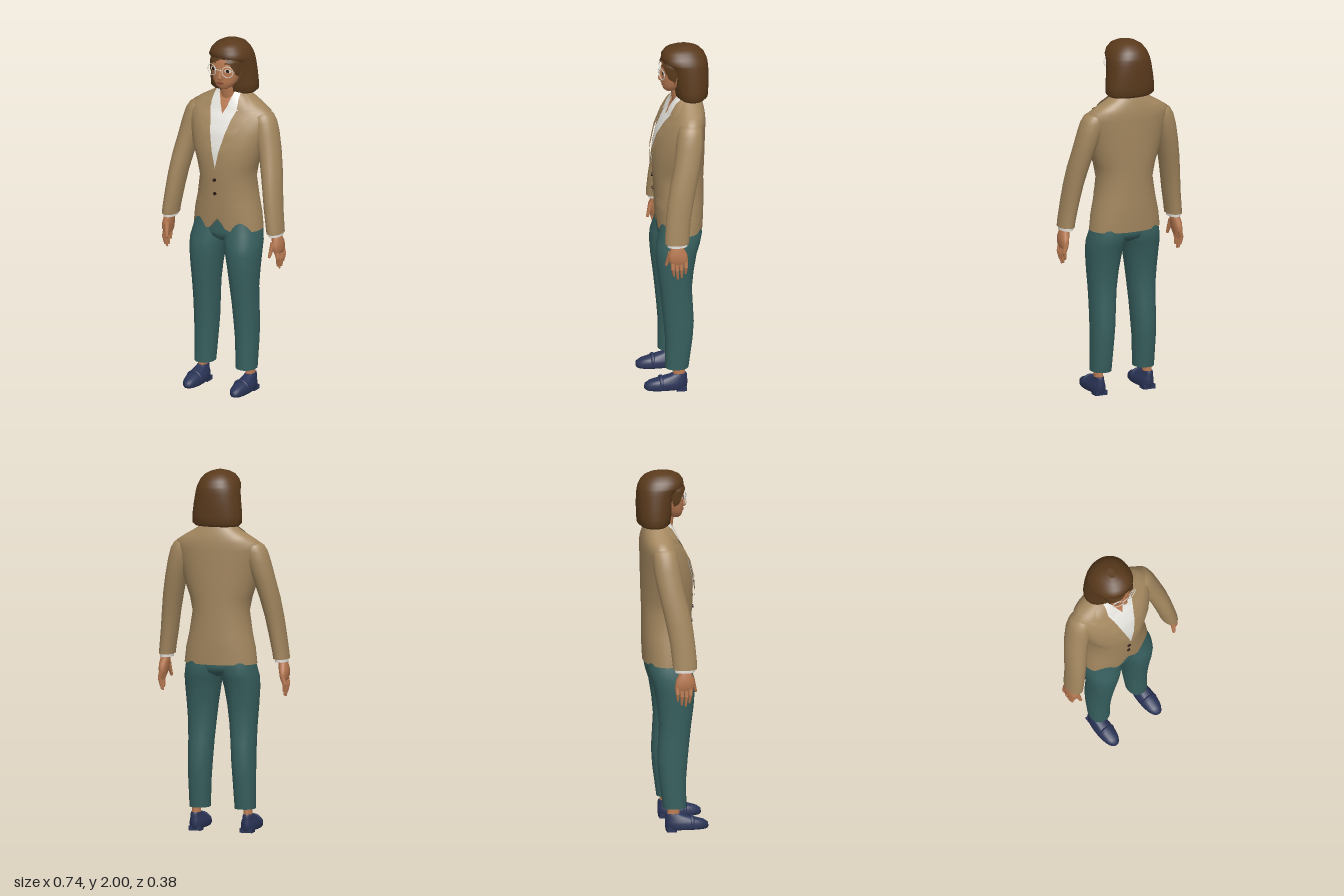
import * as THREE from 'three';

const mat = (name, color, double) => {
  const m = new THREE.MeshStandardMaterial({ color });
  m.name = name;
  if (double) m.side = THREE.DoubleSide;
  return m;
};

// Superellipse loft. Rows rise in y: [y, xMin, xMax, zMin, zMax]
function loft(rows, p = 2.2, n = 40) {
  const pos = [], idx = [];
  const pw = v => Math.sign(v) * Math.pow(Math.abs(v), 2 / p);
  const ring = ([y, x0, x1, z0, z1]) => {
    for (let j = 0; j < n; j++) {
      const t = j / n * Math.PI * 2;
      pos.push((x0 + x1) / 2 + (x1 - x0) / 2 * pw(Math.cos(t)), y, (z0 + z1) / 2 + (z1 - z0) / 2 * pw(Math.sin(t)));
    }
  };
  rows.forEach(ring);
  for (let i = 0; i < rows.length - 1; i++) for (let j = 0; j < n; j++) {
    const a = i * n + j, b = i * n + (j + 1) % n;
    idx.push(a, a + n, b, b, a + n, b + n);
  }
  // end caps on their own vertices, so the rims stay crisp
  [rows[0], rows[rows.length - 1]].forEach((r, k) => {
    const s = pos.length / 3;
    ring(r);
    pos.push((r[1] + r[2]) / 2, r[0], (r[3] + r[4]) / 2);
    for (let j = 0; j < n; j++) {
      const a = s + j, b = s + (j + 1) % n;
      if (k) idx.push(s + n, b, a); else idx.push(s + n, a, b);
    }
  });
  return finish(pos, idx);
}

function finish(pos, idx) {
  const g = new THREE.BufferGeometry();
  g.setAttribute('position', new THREE.Float32BufferAttribute(pos, 3));
  g.setIndex(idx);
  g.computeVertexNormals();
  return g;
}

// Front surface depth of a loft at (x, y)
function frontZ(rows, x, y, p = 2.2) {
  let i = 0;
  while (i < rows.length - 2 && rows[i + 1][0] < y) i++;
  const a = rows[i], b = rows[i + 1];
  const f = Math.min(1, Math.max(0, (y - a[0]) / (b[0] - a[0])));
  const [, x0, x1, z0, z1] = a.map((v, k) => v + (b[k] - v) * f);
  const u = Math.min(1, Math.abs((x - (x0 + x1) / 2) / ((x1 - x0) / 2)));
  return (z0 + z1) / 2 + (z1 - z0) / 2 * Math.pow(1 - Math.pow(u, p), 1 / p);
}

// Thin sheet lying on a loft's front. Outline rows: [y, xMin, xMax]
function patch(surface, outline, off, nx = 8, sub = 5) {
  const pos = [], idx = [];
  let count = 0;
  for (let i = 0; i < outline.length - 1; i++) for (let k = i ? 1 : 0; k <= sub; k++) {
    const [y, xa, xb] = outline[i].map((v, c) => v + (outline[i + 1][c] - v) * k / sub);
    for (let j = 0; j <= nx; j++) {
      const x = xa + (xb - xa) * j / nx;
      pos.push(x, y, frontZ(surface, x, y) + off);
    }
    count++;
  }
  for (let r = 0; r < count - 1; r++) for (let j = 0; j < nx; j++) {
    const a = r * (nx + 1) + j, c = a + nx + 1;
    idx.push(a, a + 1, c, a + 1, c + 1, c);
  }
  return finish(pos, idx);
}

// Mirror rows to the other side of the body
const mir = (rows, s) => s > 0 ? rows : rows.map(([y, a, b, ...z]) => [y, -b, -a, ...z]);
// Symmetric rows from half widths
const sym = rows => rows.map(([y, w, ...z]) => [y, -w, w, ...z]);

const TORSO = sym([
  [0.935, .203, -.153, .1], [1.02, .193, -.158, .105], [1.1, .175, -.16, .108], [1.22, .156, -.16, .115],
  [1.3, .172, -.163, .12], [1.4, .208, -.165, .115], [1.5, .228, -.166, .09], [1.57, .243, -.167, .055],
  [1.61, .235, -.165, .028], [1.64, .19, -.161, .015], [1.675, .13, -.153, -.002], [1.71, .08, -.14, -.02]]);
const HEAD = sym([
  [1.738, .02, .005, .046], [1.752, .045, -.02, .06], [1.785, .07, -.06, .068], [1.84, .088, -.1, .069],
  [1.9, .092, -.12, .066], [1.95, .075, -.1, .045], [1.97, .04, -.07, .01]]);
const HAIR = sym([
  [1.7, .122, -.17, -.02], [1.715, .138, -.185, -.004], [1.76, .138, -.188, .003], [1.82, .131, -.19, .012],
  [1.88, .123, -.188, .028], [1.908, .119, -.184, .05], [1.922, .116, -.181, .07], [1.95, .103, -.168, .068],
  [1.975, .082, -.145, .05], [1.99, .055, -.115, .02], [2, .022, -.08, -.02]]);
const ARM = [
  [.962, .285, .371, -.032, .1], [1, .28, .367, -.035, .1], [1.1, .262, .356, -.045, .092], [1.2, .245, .345, -.064, .08],
  [1.3, .222, .332, -.085, .06], [1.4, .195, .313, -.108, .036], [1.5, .16, .292, -.125, .022],
  [1.56, .14, .275, -.126, .012], [1.595, .14, .255, -.12, 0], [1.615, .16, .225, -.1, -.025]];
const LEG = [
  [.13, .073, .186, -.06, .068], [.3, .065, .189, -.083, .068], [.4, .058, .19, -.09, .076], [.5, .052, .19, -.085, .086],
  [.6, .043, .193, -.08, .097], [.7, .032, .2, -.09, .11], [.8, .016, .207, -.107, .118], [.86, .003, .207, -.126, .113],
  [.92, -.01, .196, -.14, .096], [1, -.01, .175, -.13, .085]];
const SHOE = [
  [.012, .106, .188, -.045, .18], [.022, .1, .194, -.05, .188], [.045, .1, .194, -.052, .186], [.06, .105, .19, -.051, .165],
  [.075, .114, .183, -.05, .115], [.09, .12, .178, -.05, .055], [.1, .123, .175, -.046, .034]];

export function createModel() {
  const root = new THREE.Group();
  root.name = 'woman';
  const M = {
    jacket: mat('tan jacket', 0xa3875f, true), trousers: mat('teal trousers', 0x37605f), hair: mat('brown hair', 0x5a3a1c, true),
    skin: mat('skin', 0xb97a52, true), shirt: mat('white shirt', 0xe6e4de, true), shoe: mat('navy shoe', 0x2a3457),
    lips: mat('lips', 0x9a5343, true), dark: mat('dark brown', 0x2c1c14)
  };
  const add = (name, geo, m) => {
    const o = new THREE.Mesh(geo, m);
    o.name = name;
    root.add(o);
    return o;
  };
  // Tapered rod with a rounded far end
  const rod = (name, a, b, ra, rb, m) => {
    const A = new THREE.Vector3(...a), B = new THREE.Vector3(...b), d = B.clone().sub(A);
    const q = new THREE.Quaternion().setFromUnitVectors(new THREE.Vector3(0, 1, 0), d.clone().normalize());
    const o = add(name, new THREE.CylinderGeometry(rb, ra, d.length(), 10), m);
    o.position.copy(A).add(B).multiplyScalar(.5);
    o.quaternion.copy(q);
    add(name + 'End', new THREE.SphereGeometry(rb, 10, 8), m).position.copy(B);
  };

  // Jacket body with a cutaway front hem
  const body = loft(TORSO, 2.2, 64), P = body.attributes.position;
  for (let i = 0; i < P.count; i++)
    if (P.getY(i) < .94 && P.getZ(i) > .03) P.setY(i, .935 + .065 * Math.exp(-((P.getX(i) / .035) ** 2)));
  body.computeVertexNormals();
  add('jacketBody', body, M.jacket);
  [1.23, 1.15].forEach(y => {
    const b = add('jacketButton', new THREE.CylinderGeometry(.009, .009, .008, 14), M.dark);
    b.rotation.x = Math.PI / 2;
    b.position.set(-.008, y, frontZ(TORSO, 0, y) + .004);
  });

  // Shirt front, open neck, and neck
  add('shirtFront', patch(TORSO, sym([[1.3, .002], [1.45, .038], [1.55, .062], [1.62, .086], [1.69, .07]]), .005, 16), M.shirt);
  add('openNeck', patch(TORSO, sym([[1.595, .001], [1.64, .022], [1.7, .045]]), .01), M.skin);
  add('neck', loft(sym([[1.6, .055, -.11, -.01], [1.67, .05, -.1, .008], [1.77, .046, -.09, .02]])), M.skin);

  // Head, face and hair
  add('head', loft(HEAD), M.skin);
  add('nose', loft(sym([[1.797, .008, .05, .076], [1.803, .016, .05, .084], [1.815, .013, .05, .088], [1.865, .007, .05, .071]]), 2, 16), M.skin);
  add('mouth', patch(HEAD, sym([[1.771, .01], [1.779, .024], [1.786, .01]]), .003), M.lips);
  add('hair', loft(HAIR, 2.2, 48), M.hair);
  rod('glassesBridge', [-.018, 1.858, .08], [.018, 1.858, .08], .002, .002, M.shirt);

  // Hips
  add('hips', loft(sym([[.865, .03, -.08, .06], [.89, .11, -.125, .09], [.92, .17, -.138, .095], [1, .175, -.135, .09]])), M.trousers);

  for (const s of [1, -1]) {
    const sheet = (name, surf, rows, off, m) => add(name, patch(surf, mir(rows, s), off), m);
    // Lapel, collars and pocket flap
    sheet('lapel', TORSO, [[1.29, 0, .004], [1.4, .022, .055], [1.5, .046, .1], [1.58, .066, .152], [1.622, .082, .186]], .014, M.jacket);
    sheet('jacketCollar', TORSO, [[1.626, .083, .15], [1.66, .08, .135], [1.705, .062, .085]], .017, M.jacket);
    sheet('shirtCollar', TORSO, [[1.6, .05, .058], [1.645, .026, .08], [1.715, .046, .075]], .02, M.shirt);
    sheet('pocketFlap', TORSO, [[1.08, .078, .14], [1.13, .072, .138]], .01, M.jacket);

    // Sleeve, cuff and hand
    add('sleeve', loft(mir(ARM, s), 2.1, 28), M.jacket);
    add('shirtCuff', loft(mir([[.945, .295, .364, -.022, .088], [.975, .292, .364, -.024, .09]], s), 2.1, 24), M.shirt);
    add('hand', loft(mir([[.845, .33, .362, -.018, .07], [.87, .324, .37, -.024, .084], [.905, .317, .37, -.018, .084],
      [.935, .312, .364, -.002, .072], [.965, .308, .358, 0, .068]], s), 2.2, 20), M.skin);
    [[-.01, .79], [.014, .767], [.038, .76], [.061, .778]].forEach(([z, y]) => {
      rod('finger', [s * .346, .865, z], [s * .357, (y + .865) / 2, z], .014, .011, M.skin);
      rod('fingertip', [s * .357, (y + .865) / 2, z], [s * .352, y, z * .9], .011, .006, M.skin);
    });
    rod('thumb', [s * .334, .91, .07], [s * .322, .835, .093], .016, .008, M.skin);

    // Leg, ankle and loafer
    add('trouserLeg', loft(mir(LEG, s), 2.2, 32), M.trousers);
    add('ankle', loft(mir([[.06, .122, .174, -.042, .03], [.16, .124, .17, -.035, .028]], s), 2, 20), M.skin);
    add('shoe', loft(mir(SHOE, s), 2.3, 32), M.shoe);
    add('shoeHeel', new THREE.BoxGeometry(.07, .025, .055), M.shoe).position.set(s * .147, .0125, -.016);
    const strap = add('shoeStrap', new THREE.TorusGeometry(.043, .007, 8, 18, Math.PI), M.shoe);
    strap.position.set(s * .147, .04, .095);
    strap.scale.z = 1.6;

    // Eye, glasses, brow and swept fringe
    const disc = (name, r, x, y, off, m, sy) => {
      const o = add(name, new THREE.CircleGeometry(r, 20), m);
      o.position.set(s * x, y, frontZ(HEAD, x, y) + off);
      o.rotation.y = s * .3;
      o.scale.y = sy;
    };
    disc('eyeWhite', .02, .046, 1.855, .005, M.shirt, .55);
    disc('iris', .01, .045, 1.855, .008, M.dark, 1);
    const rim = add('glassesRim', new THREE.TorusGeometry(.031, .002, 6, 28), M.shirt);
    rim.position.set(s * .049, 1.853, .074);
    rim.rotation.y = s * .3;
    sheet('eyebrow', HEAD, [[1.893, .024, .072], [1.902, .03, .066]], .006, M.hair);
    const fringe = s > 0
      ? [[1.8, .084, .09], [1.85, .076, .096], [1.89, .058, .1], [1.915, .034, .1], [1.94, .012, .095]]
      : [[1.8, .082, .09], [1.86, .074, .096], [1.89, .05, .1], [1.91, .01, .1], [1.94, -.03, .095]];
    sheet('fringe', HEAD, fringe, .014, M.hair);
  }
  return root;
}
